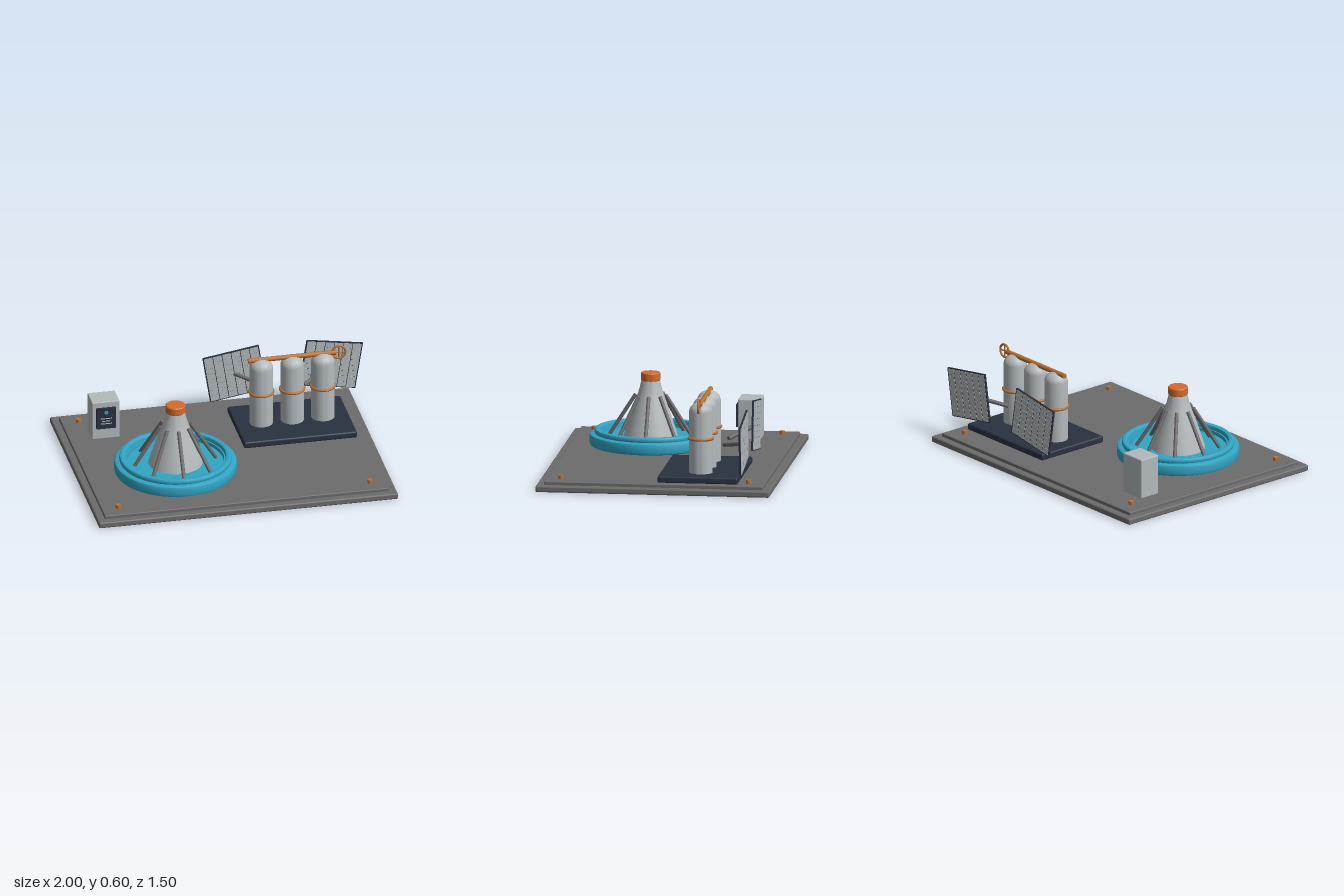
import * as THREE from 'three';
import { RoundedBoxGeometry } from 'three/addons/geometries/RoundedBoxGeometry.js';
import { toCreasedNormals } from 'three/addons/utils/BufferGeometryUtils.js';

const material = (name, color) => Object.assign(new THREE.MeshStandardMaterial({ color }), { name });

export function createModel() {
  const model = new THREE.Group();
  const stone = material('stone grey', 0x6c6c6c);
  const metal = material('light metal', 0xb3b9bb);
  const blue = material('turquoise', 0x32a5c4);
  const navy = material('dark navy', 0x2a3240);
  const orange = material('orange', 0xd26c2e);
  const copper = material('copper', 0xb87333);

  const add = (name, geometry, mat, x = 0, y = 0, z = 0, parent = model) => {
    const mesh = new THREE.Mesh(geometry, mat);
    mesh.name = name;
    mesh.position.set(x, y, z);
    parent.add(mesh);
    return mesh;
  };
  const group = (name, x, y, z) => {
    const g = new THREE.Group();
    g.name = name;
    g.position.set(x, y, z);
    model.add(g);
    return g;
  };
  const lathe = (points, segments = 48) => toCreasedNormals(
    new THREE.LatheGeometry(points.map(([r, y]) => new THREE.Vector2(r, y)), segments), 0.6);
  // Round bar between two points
  const bar = (name, from, to, radius, mat, parent = model) => {
    const a = new THREE.Vector3(...from), b = new THREE.Vector3(...to);
    const dir = b.clone().sub(a);
    const mesh = add(name, new THREE.CylinderGeometry(radius, radius, dir.length(), 14), mat, 0, 0, 0, parent);
    mesh.position.copy(a).add(b).multiplyScalar(0.5);
    mesh.quaternion.setFromUnitVectors(new THREE.Vector3(0, 1, 0), dir.normalize());
    return mesh;
  };

  // Stepped base with corner bolts
  add('baseSlab', new RoundedBoxGeometry(1.945, 0.04, 1.5, 3, 0.01), stone, -0.027, 0.02, -0.005);
  add('upperSlab', new RoundedBoxGeometry(1.85, 0.03, 1.405, 3, 0.006), stone, -0.027, 0.047, -0.005);
  for (const x of [-0.845, 0.793])
    for (const z of [-0.605, 0.6])
      add('bolt', new THREE.CylinderGeometry(0.017, 0.017, 0.03, 16), copper, x, 0.07, z);

  // Round dish with flared tower
  const dish = group('dish', -0.382, 0, 0.178);
  add('dishPedestal', new THREE.CylinderGeometry(0.3, 0.3, 0.02, 48), stone, 0, 0.065, 0, dish);
  add('dishRim', lathe([
    [0, 0.068], [0.375, 0.068], [0.386, 0.074], [0.39, 0.085], [0.39, 0.128], [0.386, 0.139], [0.375, 0.145],
    [0.355, 0.145], [0.358, 0.152], [0.358, 0.165], [0.353, 0.173], [0.345, 0.176],
    [0.332, 0.176], [0.323, 0.172], [0.319, 0.163], [0.319, 0.148], [0.31, 0.148], [0.308, 0.125], [0, 0.125],
  ], 64), blue, 0, 0, 0, dish);
  add('tower', lathe([
    [0.176, 0.115], [0.155, 0.185], [0.128, 0.265], [0.104, 0.335], [0.085, 0.39], [0.072, 0.43], [0.059, 0.485],
  ]), metal, 0, 0, 0, dish);
  add('towerCap', lathe([
    [0, 0.483], [0.058, 0.483], [0.063, 0.488], [0.063, 0.53], [0.058, 0.536], [0, 0.536],
  ]), orange, 0, 0, 0, dish);
  for (let i = 0; i < 8; i++) {
    const c = Math.cos(i * Math.PI / 4), s = Math.sin(i * Math.PI / 4);
    bar('towerStrut', [0.097 * c, 0.39, 0.097 * s], [0.266 * c, 0.125, 0.266 * s], 0.012, stone, dish);
  }

  // Plinth with three banded tanks
  const tankZ = -0.282, tankX = [0.275, 0.476, 0.676];
  add('tankPlinth', new RoundedBoxGeometry(0.735, 0.045, 0.515, 3, 0.012), navy, 0.477, 0.081, tankZ);
  const dome = [];
  for (let i = 0; i <= 10; i++) {
    const a = i / 10 * Math.PI / 2;
    dome.push([0.075 * Math.cos(a), 0.495 + 0.063 * Math.sin(a)]);
  }
  for (const x of tankX) {
    add('tank', lathe([[0.075, 0.1], ...dome]), metal, x, 0, tankZ);
    add('tankBand', new THREE.TorusGeometry(0.076, 0.009, 10, 40).rotateX(Math.PI / 2), copper, x, 0.325, tankZ);
  }

  // Manifold pipe and valve wheel
  bar('manifoldPipe', [0.19, 0.551, tankZ], [0.76, 0.551, tankZ], 0.016, copper);
  const wheel = group('valveWheel', 0.78, 0.551, tankZ);
  add('wheelRim', new THREE.TorusGeometry(0.043, 0.007, 10, 32), copper, 0, 0, 0, wheel);
  bar('wheelSpoke', [-0.043, 0, 0], [0.043, 0, 0], 0.005, copper, wheel);
  bar('wheelSpoke', [0, -0.043, 0], [0, 0.043, 0], 0.005, copper, wheel);

  // Tilted cell panels with their arms, mirrored about the middle tank
  const w = 0.37, h = 0.32, cols = 6, rows = 8, gap = 0.004;
  for (const side of [-1, 1]) {
    const panel = group(side < 0 ? 'rightPanel' : 'leftPanel', 0.476 + side * 0.314, 0.318, -0.57);
    panel.rotation.z = -side * 0.157;
    add('panelPlate', new THREE.BoxGeometry(w, h, 0.012), navy, 0, 0, 0, panel);
    const cw = (w - 0.01) / cols, ch = (h - 0.01) / rows;
    for (let i = 0; i < cols; i++)
      for (let j = 0; j < rows; j++)
        add('panelCell', new THREE.BoxGeometry(cw - gap, ch - gap / 3, 0.015), metal,
          (i - (cols - 1) / 2) * cw, (j - (rows - 1) / 2) * ch, 0, panel);
    bar('panelArm', [0.476 + side * 0.314, 0.318, -0.57], [0.476 + side * 0.108, 0.267, -0.42], 0.013, stone);
  }

  // Control cabinet with display
  add('cabinet', new RoundedBoxGeometry(0.18, 0.265, 0.145, 2, 0.008), metal, -0.722, 0.192, -0.421);
  add('display', new THREE.BoxGeometry(0.125, 0.145, 0.02), navy, -0.722, 0.212, -0.343);
  add('displayLamp', new THREE.CylinderGeometry(0.013, 0.013, 0.006, 20).rotateX(Math.PI / 2), blue, -0.722, 0.255, -0.331);
  [0.212, 0.194, 0.176].forEach((y, i) =>
    add('displayLine', new THREE.BoxGeometry(i === 1 ? 0.055 : 0.075, 0.005, 0.004), metal, -0.722, y, -0.332));

  return model;
}
